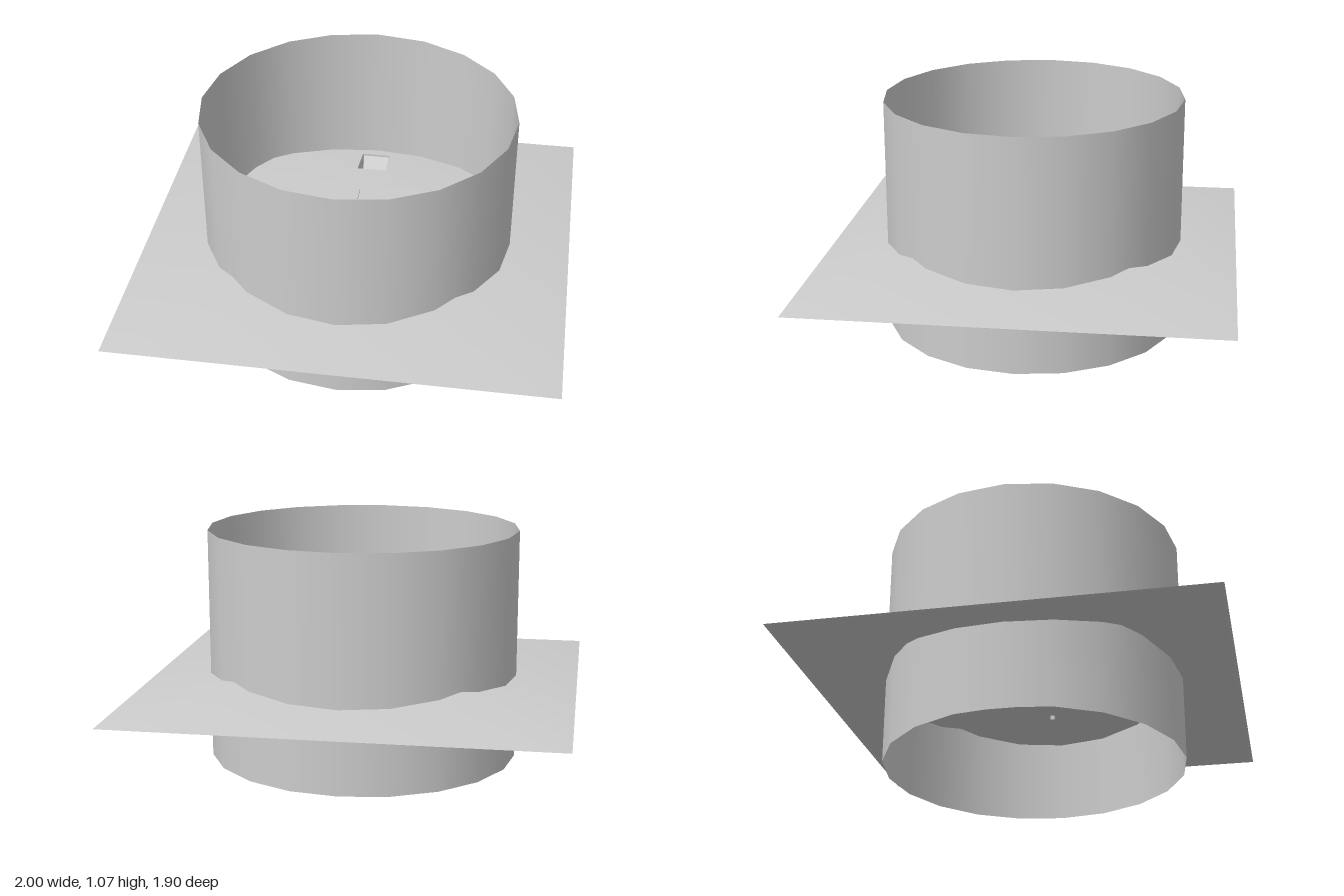
import * as THREE from 'three';

const grey = new THREE.MeshStandardMaterial({ color: 0xcccccc, side: THREE.DoubleSide });
grey.name = 'plain grey';

const HALF_Z = 0.95;
const roofY = (x, z) => 0.535 - 0.2 * Math.max(Math.abs(x), Math.abs(z) / HALF_Z);

function part(parent, name, geometry, x = 0, y = 0, z = 0) {
  const mesh = new THREE.Mesh(geometry, grey);
  mesh.name = name;
  mesh.position.set(x, y, z);
  parent.add(mesh);
  return mesh;
}

// One triangular slope of the shallow pyramid, lifted from a flat outline
function slope(a, b, hole) {
  const shape = new THREE.Shape([new THREE.Vector2(0, 0), new THREE.Vector2(...a), new THREE.Vector2(...b)]);
  if (hole) shape.holes.push(new THREE.Path(hole.map((p) => new THREE.Vector2(...p))));
  const geo = new THREE.ShapeGeometry(shape);
  const pos = geo.attributes.position;
  const normal = geo.attributes.normal;
  const n = new THREE.Vector3();
  for (let i = 0; i < pos.count; i++) {
    const x = pos.getX(i), z = -pos.getY(i);
    pos.setXYZ(i, x, roofY(x, z), z);
    n.set(0.1 * x, 1, 0.1 * z / HALF_Z).normalize();
    normal.setXYZ(i, n.x, n.y, n.z);
  }
  return geo;
}

// Open trough: sloping floor and two side walls below a roof opening
function trough() {
  const outer = 0.63, inner = 0.44, low = 0.29;
  const top = [[0.07, roofY(0, outer), outer], [0.07, roofY(0, inner), inner]];
  const floor = [[0.065, roofY(0, outer) - 0.01, outer], [0.045, low, inner]];
  const flip = ([x, y, z]) => [-x, y, z];
  const quads = [
    [floor[0], floor[1], flip(floor[1]), flip(floor[0])],
    [top[0], top[1], floor[1], floor[0]],
    [flip(top[1]), flip(top[0]), flip(floor[0]), flip(floor[1])],
  ];
  const points = quads.flatMap(([a, b, c, d]) => [a, b, c, a, c, d]).flat();
  const geo = new THREE.BufferGeometry();
  geo.setAttribute('position', new THREE.Float32BufferAttribute(points, 3));
  geo.computeVertexNormals();
  return geo;
}

export function createModel() {
  const model = new THREE.Group();
  model.name = 'cylinderWithSquareCollar';

  // Open round wall
  const wall = part(model, 'roundWall', new THREE.CylinderGeometry(1, 1, 1.07, 20, 1, true), 0, 0.535, 0);
  wall.scale.set(0.72, 1, 0.69);

  // Shallow square pyramid passing through the wall
  const collar = new THREE.Group();
  collar.name = 'pyramidSheet';
  model.add(collar);
  const corners = [[1, HALF_Z], [-1, HALF_Z], [-1, -HALF_Z], [1, -HALF_Z]];
  const names = ['backSlope', 'leftSlope', 'frontSlope', 'rightSlope'];
  corners.forEach((c, i) => {
    const s = i === 0 ? 1 : -1;
    const hole = i % 2 === 0
      ? [[-0.07, 0.44 * s], [0.07, 0.44 * s], [0.07, 0.63 * s], [-0.07, 0.63 * s]] : null;
    part(collar, names[i], slope(c, corners[(i + 1) % 4], hole));
  });

  // Mirrored troughs under the two openings, with a duct between them
  for (const s of [1, -1]) {
    const t = part(model, s > 0 ? 'frontTrough' : 'backTrough', trough());
    if (s < 0) t.rotation.y = Math.PI;
    part(model, 'peg', new THREE.BoxGeometry(0.02, 0.03, 0.02), s > 0 ? 0.46 : -0.485, 0.44, 0);
  }
  part(model, 'duct', new THREE.BoxGeometry(0.09, 0.06, 0.88), 0, 0.32, 0);

  // Low double hatch at the peak
  part(model, 'hatchFrame', new THREE.BoxGeometry(0.61, 0.09, 0.38), 0.005, 0.5, 0.03);
  for (const x of [-0.135, 0.145]) {
    part(model, 'hatchPanel', new THREE.BoxGeometry(0.25, 0.009, 0.3), x, 0.548, 0.03);
  }
  return model;
}
